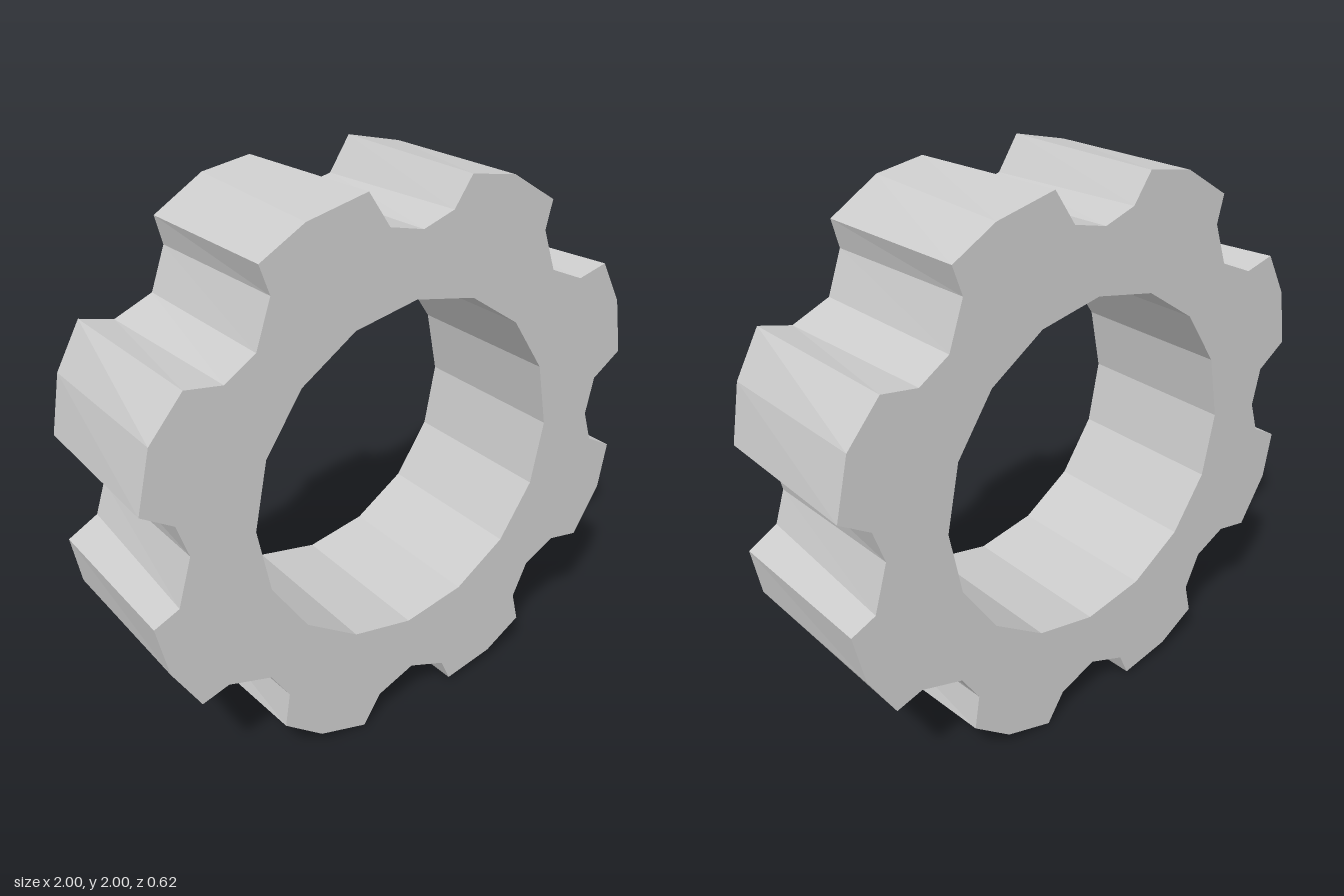
import * as THREE from 'three';

const HALF = 0.31;

// Rim seen from the front, clockwise from the top notch: three points per notch, three per tooth
const RIM = [
  [0.02, 1.85], [0.14, 1.89], [0.21, 1.99], [0.39, 1.96], [0.57, 1.85], [0.545, 1.75],
  [0.6, 1.6], [0.74, 1.54], [0.86, 1.57], [0.95, 1.41], [0.99, 1.2], [0.87, 1.12],
  [0.84, 0.98], [0.88, 0.86], [0.99, 0.8], [0.96, 0.62], [0.85, 0.44], [0.72, 0.465],
  [0.59, 0.4], [0.53, 0.27], [0.56, 0.15], [0.41, 0.06], [0.21, 0.02], [0.17, 0.11],
  [0.02, 0.17], [-0.13, 0.11], [-0.2, 0], [-0.39, 0.06], [-0.54, 0.18], [-0.52, 0.31],
  [-0.59, 0.42], [-0.75, 0.47], [-0.85, 0.44], [-0.95, 0.61], [-0.99, 0.8], [-0.9, 0.84],
  [-0.85, 1.01], [-0.89, 1.13], [-1, 1.2], [-0.95, 1.41], [-0.83, 1.55], [-0.7, 1.53],
  [-0.59, 1.6], [-0.535, 1.76], [-0.57, 1.86], [-0.41, 1.95], [-0.19, 2], [-0.11, 1.88],
].map(([x, y]) => new THREE.Vector2(x, y));

// Sixteen-sided bore, counter-clockwise from the top
const BORE = Array.from({ length: 16 }, (_, i) => {
  const a = (i / 16) * Math.PI * 2;
  return new THREE.Vector2(-0.62 * Math.sin(a), 1.008 + 0.62 * Math.cos(a));
});

// Wall joining a loop on the front face to the same loop turned half round on the back face
function wall(loop) {
  const n = loop.length;
  const front = (i) => [loop[i % n].x, loop[i % n].y, HALF];
  const back = (i) => {
    const p = loop[(2 * n - i) % n];
    return [-p.x, p.y, -HALF];
  };
  const pos = [];
  for (let i = 0; i < n; i++) {
    pos.push(...front(i), ...front(i + 1), ...back(i + 1));
    pos.push(...front(i), ...back(i + 1), ...back(i));
  }
  const geo = new THREE.BufferGeometry();
  geo.setAttribute('position', new THREE.Float32BufferAttribute(pos, 3));
  geo.computeVertexNormals();
  return geo;
}

export function createModel() {
  const group = new THREE.Group();
  group.name = 'gearRing';
  const material = new THREE.MeshStandardMaterial({ color: 0xcccccc, flatShading: true });
  const add = (name, geo) => {
    const mesh = new THREE.Mesh(geo, material);
    mesh.name = name;
    group.add(mesh);
    return mesh;
  };

  // Toothed outside and inner bore
  add('toothedRim', wall(RIM));
  add('boreWall', wall(BORE));

  // Flat faces, the back one being the front turned half round
  const shape = new THREE.Shape(RIM);
  shape.holes.push(new THREE.Path(BORE));
  const face = new THREE.ShapeGeometry(shape).translate(0, 0, HALF);
  add('frontFace', face);
  add('backFace', face.clone().rotateY(Math.PI));

  return group;
}
